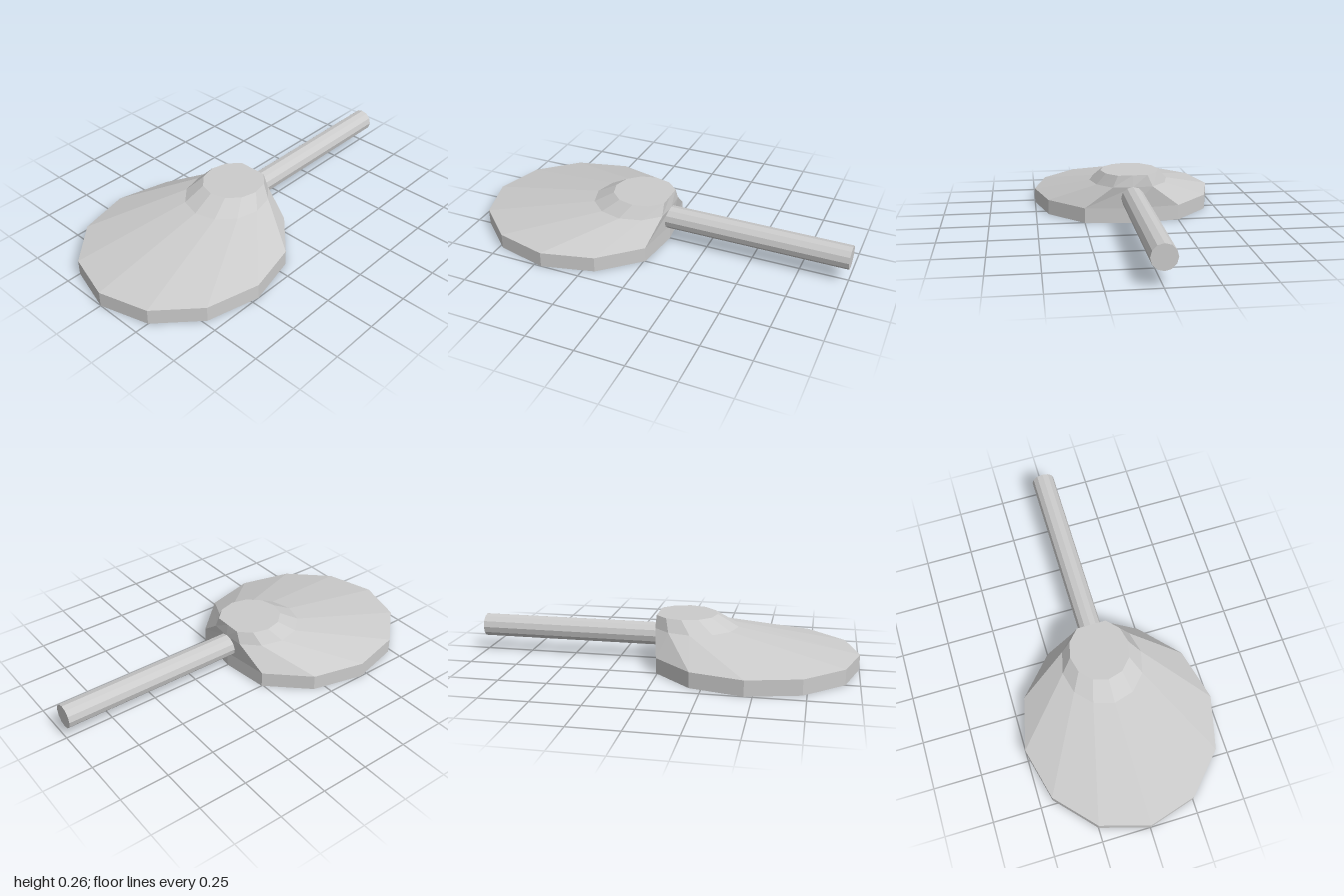
import * as THREE from 'three';

const SIDES = 12;

// One cross-section: an ellipse whose vertex on the handle side is flattened to endX.
function ring({ y, cx, rx, rz, endX }) {
  return Array.from({ length: SIDES }, (_, i) => {
    const a = (i / SIDES) * Math.PI * 2;
    const x = i === 0 ? endX : cx + rx * Math.cos(a);
    return [x, y, rz * Math.sin(a)];
  });
}

// Skins a stack of cross-sections and closes both ends with a fan.
function skin(sections) {
  const rings = sections.map(ring);
  const pos = rings.flat(2);
  const index = [];
  const last = rings.length - 1;
  for (let r = 0; r < last; r++) {
    for (let i = 0; i < SIDES; i++) {
      const j = (i + 1) % SIDES;
      const a = r * SIDES + i, b = r * SIDES + j;
      const c = a + SIDES, d = b + SIDES;
      index.push(a, c, b, b, c, d);
    }
  }
  for (let i = 1; i < SIDES - 1; i++) {
    index.push(0, i, i + 1);
    const t = last * SIDES;
    index.push(t, t + i + 1, t + i);
  }
  const geo = new THREE.BufferGeometry();
  geo.setAttribute('position', new THREE.Float32BufferAttribute(pos, 3));
  geo.setIndex(index);
  const flat = geo.toNonIndexed();
  flat.computeVertexNormals();
  return flat;
}

export function createModel() {
  const group = new THREE.Group();
  group.name = 'paddleTool';
  const material = new THREE.MeshStandardMaterial({ color: 0xcccccc, flatShading: true });

  // Head: shallow recessed underside, straight rim, long slope, short raised cap
  const head = new THREE.Mesh(skin([
    { y: 0.012, cx: -0.46, rx: 0.475, rz: 0.44, endX: -0.02 },
    { y: 0, cx: -0.46, rx: 0.54, rz: 0.5, endX: 0.04 },
    { y: 0.08, cx: -0.46, rx: 0.54, rz: 0.5, endX: 0.04 },
    { y: 0.195, cx: -0.155, rx: 0.225, rz: 0.21, endX: 0.047 },
    { y: 0.257, cx: -0.105, rx: 0.165, rz: 0.155, endX: 0.038 },
  ]), material);
  head.name = 'head';
  group.add(head);

  // Handle: straight rod leaving the flattened side of the head
  const start = 0.02, end = 1;
  const handle = new THREE.Mesh(
    new THREE.CylinderGeometry(0.061, 0.061, end - start, SIDES), material);
  handle.rotation.z = -Math.PI / 2;
  handle.position.set((start + end) / 2, 0.136, 0);
  handle.name = 'handle';
  group.add(handle);

  return group;
}
